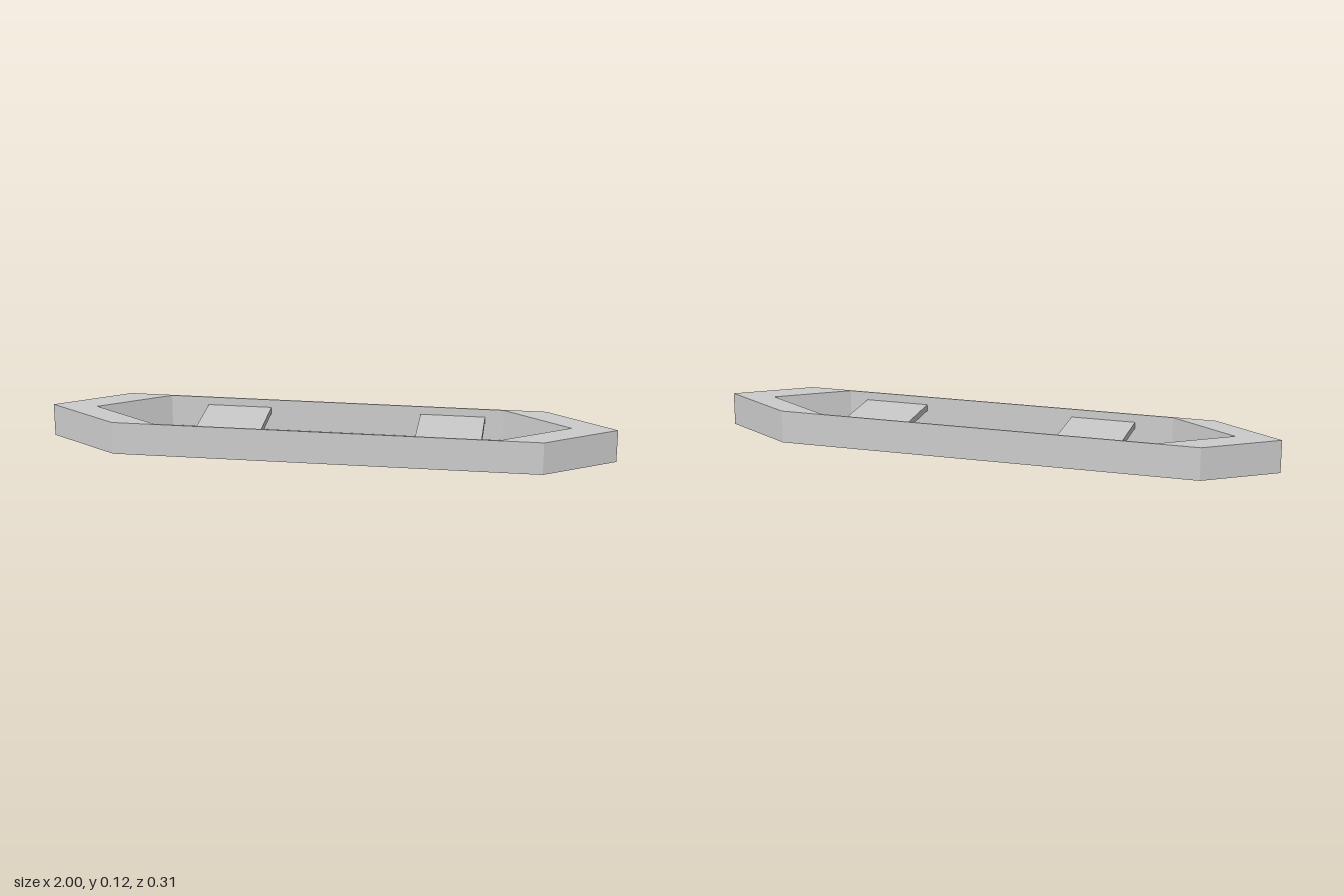
import * as THREE from 'three';

const HEIGHT = 0.117;
const FLOOR = 0.003;

// Hexagonal plan outline, pointed at both ends
function outline(tip, shoulder, halfWidth, Type = THREE.Shape) {
  const path = new Type();
  path.moveTo(tip, 0);
  path.lineTo(shoulder, halfWidth);
  path.lineTo(-shoulder, halfWidth);
  path.lineTo(-tip, 0);
  path.lineTo(-shoulder, -halfWidth);
  path.lineTo(shoulder, -halfWidth);
  path.closePath();
  return path;
}

// Extrude a plan shape upward from y0 to y1
function slab(name, shape, y0, y1, material) {
  const geometry = new THREE.ExtrudeGeometry(shape, { depth: y1 - y0, bevelEnabled: false });
  geometry.rotateX(-Math.PI / 2);
  geometry.translate(0, y0, 0);
  const mesh = new THREE.Mesh(geometry, material);
  mesh.name = name;
  return mesh;
}

export function createModel() {
  const group = new THREE.Group();
  group.name = 'canoe';
  const grey = new THREE.MeshStandardMaterial({ color: 0xcccccc });
  grey.name = 'light grey';

  // Thin bottom under the whole hull
  group.add(slab('hullBottom', outline(1, 0.75, 0.153), 0, FLOOR, grey));

  // Walls: thin sides, solid toward the pointed ends
  const walls = outline(1, 0.75, 0.153);
  walls.holes.push(outline(0.84, 0.6, 0.148, THREE.Path));
  group.add(slab('hullWalls', walls, FLOOR, HEIGHT, grey));

  // Two bench seats spanning the hull just below the rim
  for (const [name, x] of [['rightSeat', -0.35], ['leftSeat', 0.42]]) {
    const seat = new THREE.Mesh(new THREE.BoxGeometry(0.23, 0.023, 0.296), grey);
    seat.name = name;
    seat.position.set(x, 0.0765, 0);
    group.add(seat);
  }
  return group;
}
